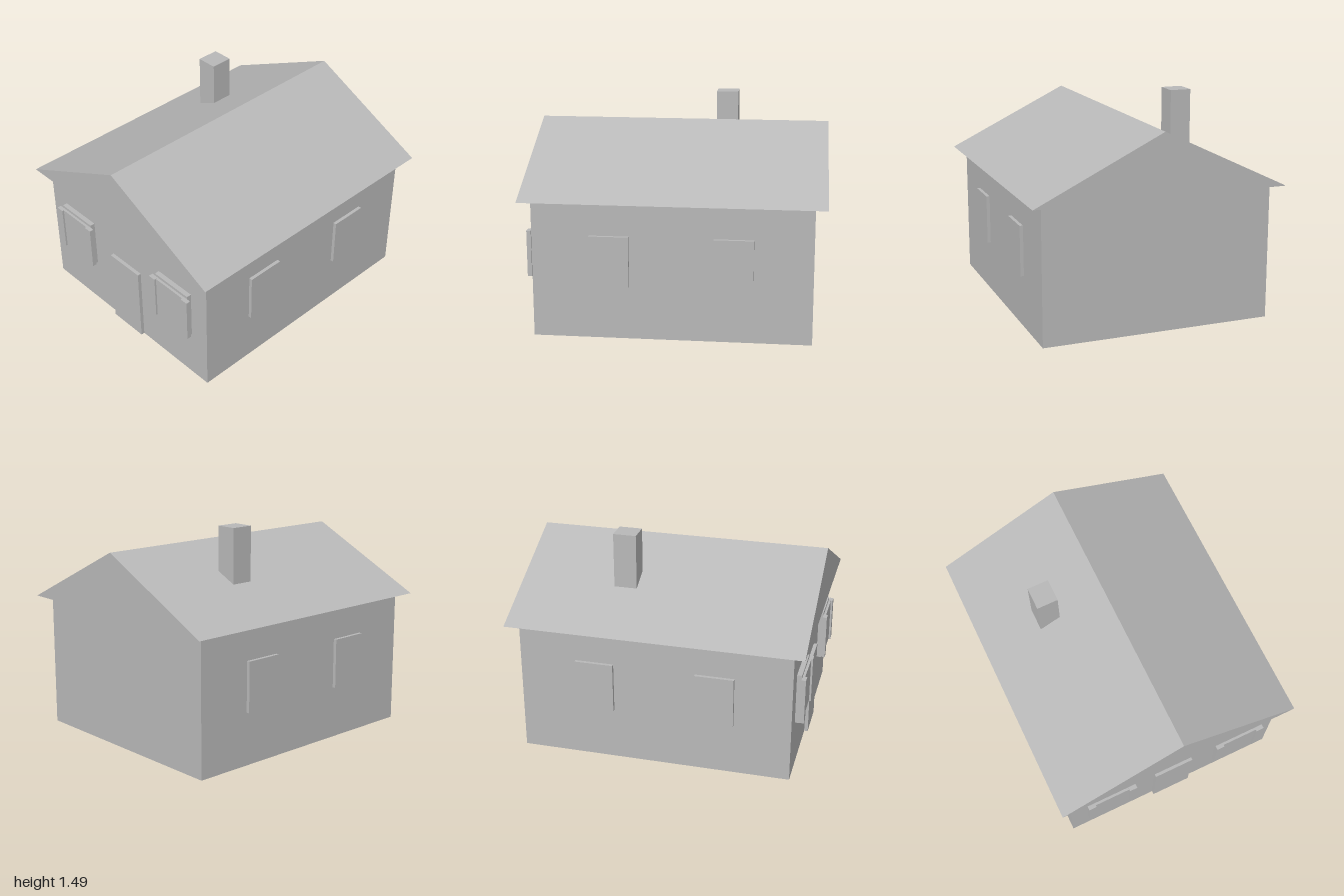
import * as THREE from 'three';

export function createModel() {
  const house = new THREE.Group();
  house.name = 'house';
  const plaster = new THREE.MeshStandardMaterial({ color: 0xb8b8b8, side: THREE.DoubleSide });
  plaster.name = 'plain grey';

  // Box given by its limits on each axis
  function box(name, [x0, x1], [y0, y1], [z0, z1], parent = house) {
    const mesh = new THREE.Mesh(new THREE.BoxGeometry(x1 - x0, y1 - y0, z1 - z0), plaster);
    mesh.position.set((x0 + x1) / 2, (y0 + y1) / 2, (z0 + z1) / 2);
    mesh.name = name;
    parent.add(mesh);
    return mesh;
  }

  box('walls', [-0.79, 0.79], [0, 0.925], [-0.922, 0.922]);
  box('door', [-0.143, 0.143], [0, 0.555], [0.922, 0.947]);
  box('chimney', [-0.47, -0.325], [1.1, 1.49], [-0.355, -0.2]);

  // Hollow gable roof, open underneath: two gables and two slopes
  const w = 0.867, eave = 0.925, ridge = 1.345;
  const fl = [-w, eave, 1], fr = [w, eave, 1], ft = [0, ridge, 1];
  const bl = [-w, eave, -1], br = [w, eave, -1], bt = [0, ridge, -1];
  const faces = [fl, fr, ft, br, bl, bt, fr, br, bt, fr, bt, ft, bl, fl, ft, bl, ft, bt];
  const roofGeometry = new THREE.BufferGeometry();
  roofGeometry.setAttribute('position', new THREE.Float32BufferAttribute(faces.flat(), 3));
  roofGeometry.computeVertexNormals();
  const roof = new THREE.Mesh(roofGeometry, plaster);
  roof.name = 'roof';
  house.add(roof);

  for (const side of [-1, 1]) {
    // Side windows
    for (const z of [0.41, -0.405]) {
      const x = side < 0 ? [-0.813, -0.79] : [0.79, 0.813];
      box('sideWindow', x, [0.358, 0.7], [z - 0.131, z + 0.131]);
    }
    // Front windows with a frame, a pane and two shutters
    const window = new THREE.Group();
    window.name = 'frontWindow';
    window.position.set(side * 0.491, 0, 0);
    box('windowFrame', [-0.155, 0.155], [0.354, 0.705], [0.922, 0.955], window);
    box('windowPane', [-0.127, 0.127], [0.378, 0.685], [0.955, 0.972], window);
    box('leftShutter', [0.127, 0.182], [0.371, 0.686], [0.955, 0.985], window);
    box('rightShutter', [-0.182, -0.127], [0.371, 0.686], [0.955, 0.985], window);
    house.add(window);
  }
  return house;
}
